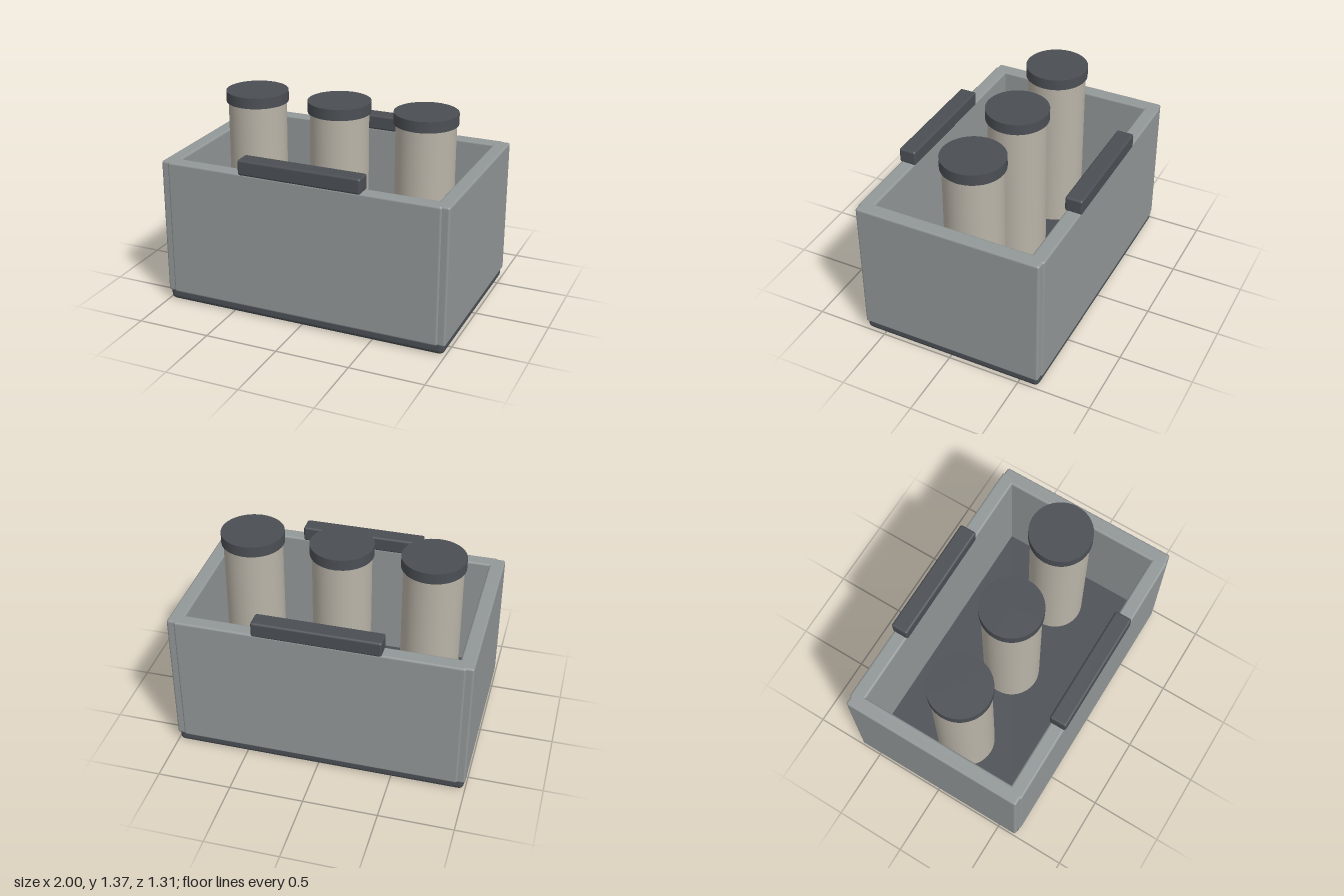
import * as THREE from 'three';
import { RoundedBoxGeometry } from 'three/addons/geometries/RoundedBoxGeometry.js';

const flat = (name, color) => {
  const m = new THREE.MeshStandardMaterial({ color });
  m.name = name;
  return m;
};

export function createModel() {
  const model = new THREE.Group();
  model.name = 'bottleCrate';
  const grey = flat('crateGrey', 0x929797);
  const dark = flat('darkGrey', 0x4b4f54);
  const beige = flat('bottleBeige', 0xbab4a8);

  // Rounded block given by its size, base height and offset
  const block = (name, mat, w, h, d, x, y0, z, r) => {
    const mesh = new THREE.Mesh(new RoundedBoxGeometry(w, h, d, 2, r), mat);
    mesh.name = name;
    mesh.position.set(x, y0 + h / 2, z);
    model.add(mesh);
  };
  const cylinder = (name, mat, r, y0, y1, x) => {
    const mesh = new THREE.Mesh(new THREE.CylinderGeometry(r, r, y1 - y0, 40), mat);
    mesh.name = name;
    mesh.position.set(x, (y0 + y1) / 2, 0);
    model.add(mesh);
  };

  // Base slab, showing as a dark skirt under the walls
  block('base', dark, 1.98, 0.18, 1.274, 0, 0, 0, 0.035);

  // Walls and grips, mirrored front to back and side to side
  for (const s of [1, -1]) {
    block(s > 0 ? 'frontWall' : 'backWall', grey, 1.9, 0.945, 0.1, 0, 0.065, s * 0.598, 0.015);
    block(s > 0 ? 'leftWall' : 'rightWall', grey, 0.1, 0.945, 1.276, s * 0.95, 0.065, 0, 0.015);
    block(s > 0 ? 'frontGrip' : 'backGrip', dark, 0.85, 0.105, 0.12, 0, 1.003, s * 0.597, 0.015);
  }

  // Three capped bottles standing on the base
  for (const x of [-0.61, 0, 0.61]) {
    cylinder('bottle', beige, 0.198, 0.17, 1.3, x);
    cylinder('cap', dark, 0.212, 1.295, 1.37, x);
  }
  return model;
}
